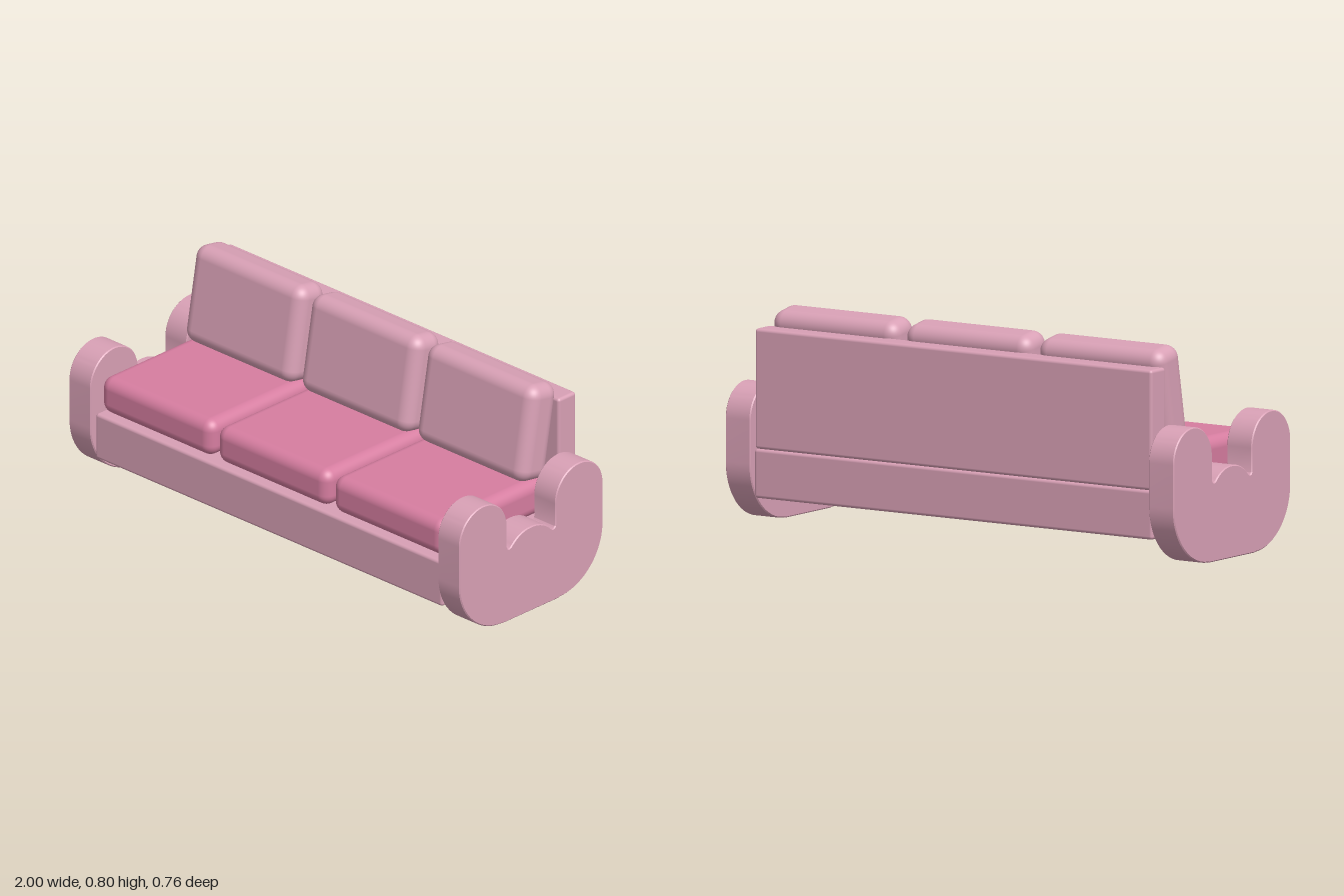
import * as THREE from 'three';
import { RoundedBoxGeometry } from 'three/addons/geometries/RoundedBoxGeometry.js';
import { toCreasedNormals } from 'three/addons/utils/BufferGeometryUtils.js';

export function createModel() {
  const sofa = new THREE.Group();
  sofa.name = 'sofa';
  const fabric = new THREE.MeshStandardMaterial({ color: 0xd8a0b5 });
  fabric.name = 'pale pink fabric';
  const seatFabric = new THREE.MeshStandardMaterial({ color: 0xd67da0 });
  seatFabric.name = 'deep pink fabric';

  const add = (name, geometry, material, x, y, z) => {
    const mesh = new THREE.Mesh(geometry, material);
    mesh.name = name;
    mesh.position.set(x, y, z);
    sofa.add(mesh);
    return mesh;
  };

  // Frame
  add('base', new RoundedBoxGeometry(1.775, 0.183, 0.71, 3, 0.012), fabric, 0, 0.1915, 0);
  add('backrest', new RoundedBoxGeometry(1.77, 0.447, 0.093, 3, 0.012), fabric, 0, 0.5065, -0.3085);

  // Three seat cushions with leaning back cushions
  const seatGeometry = new RoundedBoxGeometry(0.572, 0.147, 0.6, 5, 0.045);
  const backGeometry = new RoundedBoxGeometry(0.56, 0.38, 0.147, 5, 0.05);
  for (const i of [-1, 0, 1]) {
    const x = i * 0.593 - 0.003;
    add('seatCushion', seatGeometry, seatFabric, x, 0.3575, 0.04);
    add('backCushion', backGeometry, fabric, x, 0.608, -0.185).rotation.x = -0.178;
  }

  // Arm outline: two round lobes with a low hump between them
  const outline = new THREE.Shape();
  outline.moveTo(-0.15, 0);
  outline.lineTo(0.15, 0);
  outline.absarc(0.15, 0.23, 0.228, -Math.PI / 2, 0, false);
  outline.lineTo(0.378, 0.39);
  outline.absarc(0.2525, 0.39, 0.1255, 0, Math.PI, false);
  outline.lineTo(0.127, 0.305);
  outline.quadraticCurveTo(0.122, 0.286, 0.105, 0.299);
  outline.bezierCurveTo(0.075, 0.33, 0.04, 0.344, 0, 0.344);
  outline.bezierCurveTo(-0.04, 0.344, -0.075, 0.33, -0.105, 0.299);
  outline.quadraticCurveTo(-0.122, 0.286, -0.127, 0.305);
  outline.lineTo(-0.127, 0.39);
  outline.absarc(-0.2525, 0.39, 0.1255, 0, Math.PI, false);
  outline.lineTo(-0.378, 0.23);
  outline.absarc(-0.15, 0.23, 0.228, Math.PI, Math.PI * 1.5, false);

  const armGeometry = toCreasedNormals(new THREE.ExtrudeGeometry(outline, {
    depth: 0.104, curveSegments: 18, bevelEnabled: true,
    bevelThickness: 0.004, bevelSize: 0.004, bevelOffset: -0.004, bevelSegments: 1,
  }).translate(0, 0, -0.052).rotateY(Math.PI / 2), 0.6);
  add('leftArm', armGeometry, fabric, 0.944, 0, 0);
  add('rightArm', armGeometry, fabric, -0.944, 0, 0);

  return sofa;
}
